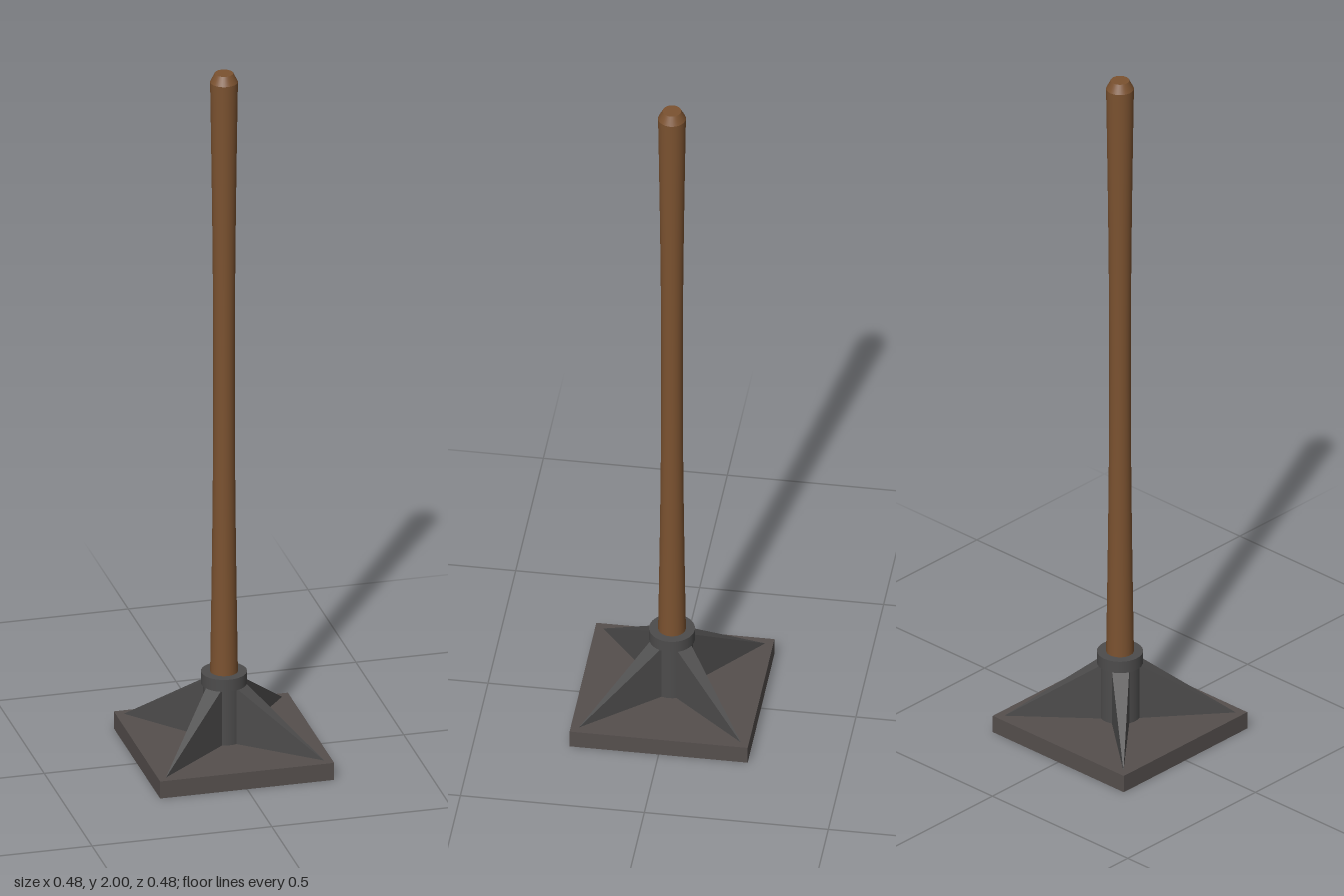
import * as THREE from 'three';

export function createModel() {
  const group = new THREE.Group();
  const plateMetal = new THREE.MeshStandardMaterial({ name: 'plateMetal', color: 0x554f4d });
  const iron = new THREE.MeshStandardMaterial({ name: 'iron', color: 0x4d4c4c });
  const wood = new THREE.MeshStandardMaterial({ name: 'wood', color: 0x7b5230 });

  const add = (name, geometry, material, y = 0) => {
    const mesh = new THREE.Mesh(geometry, material);
    mesh.name = name;
    mesh.position.y = y;
    group.add(mesh);
    return mesh;
  };

  // Square foot plate
  add('basePlate', new THREE.BoxGeometry(0.484, 0.05, 0.484), plateMetal, 0.025);

  // Socket and the wider collar on top of it
  add('socket', new THREE.CylinderGeometry(0.057, 0.057, 0.17, 32), iron, 0.13);
  add('collar', new THREE.CylinderGeometry(0.062, 0.062, 0.035, 32), iron, 0.2275);

  // Four ribs: wedges that taper to a point at each corner of the plate
  const inner = 0.045, tip = 0.314, half = 0.024, low = 0.048, high = 0.218;
  const p = [[inner, low, half], [inner, low, -half], [inner, high, half], [inner, high, -half], [tip, low, 0]];
  const faces = [[0, 4, 2], [1, 3, 4], [2, 4, 3], [0, 1, 4], [0, 2, 3], [0, 3, 1]];
  const ribGeometry = new THREE.BufferGeometry();
  ribGeometry.setAttribute('position', new THREE.Float32BufferAttribute(faces.flat().flatMap(i => p[i]), 3));
  ribGeometry.computeVertexNormals();
  for (let i = 0; i < 4; i++) {
    add('rib' + (i + 1), ribGeometry, iron).rotation.y = Math.PI / 4 + i * Math.PI / 2;
  }

  // Wooden handle, slightly waisted in the middle
  const bottom = 0.24, top = 1.975, rings = 14;
  const profile = [];
  for (let i = 0; i <= rings; i++) {
    const t = i / rings;
    profile.push(new THREE.Vector2(0.0375 - 0.0085 * Math.sin(Math.PI * t), bottom + (top - bottom) * t));
  }
  add('handle', new THREE.LatheGeometry(profile, 32), wood);

  // Bevelled end of the handle
  add('handleEnd', new THREE.CylinderGeometry(0.025, 0.0375, 0.025, 32), wood, 1.9875);

  return group;
}
